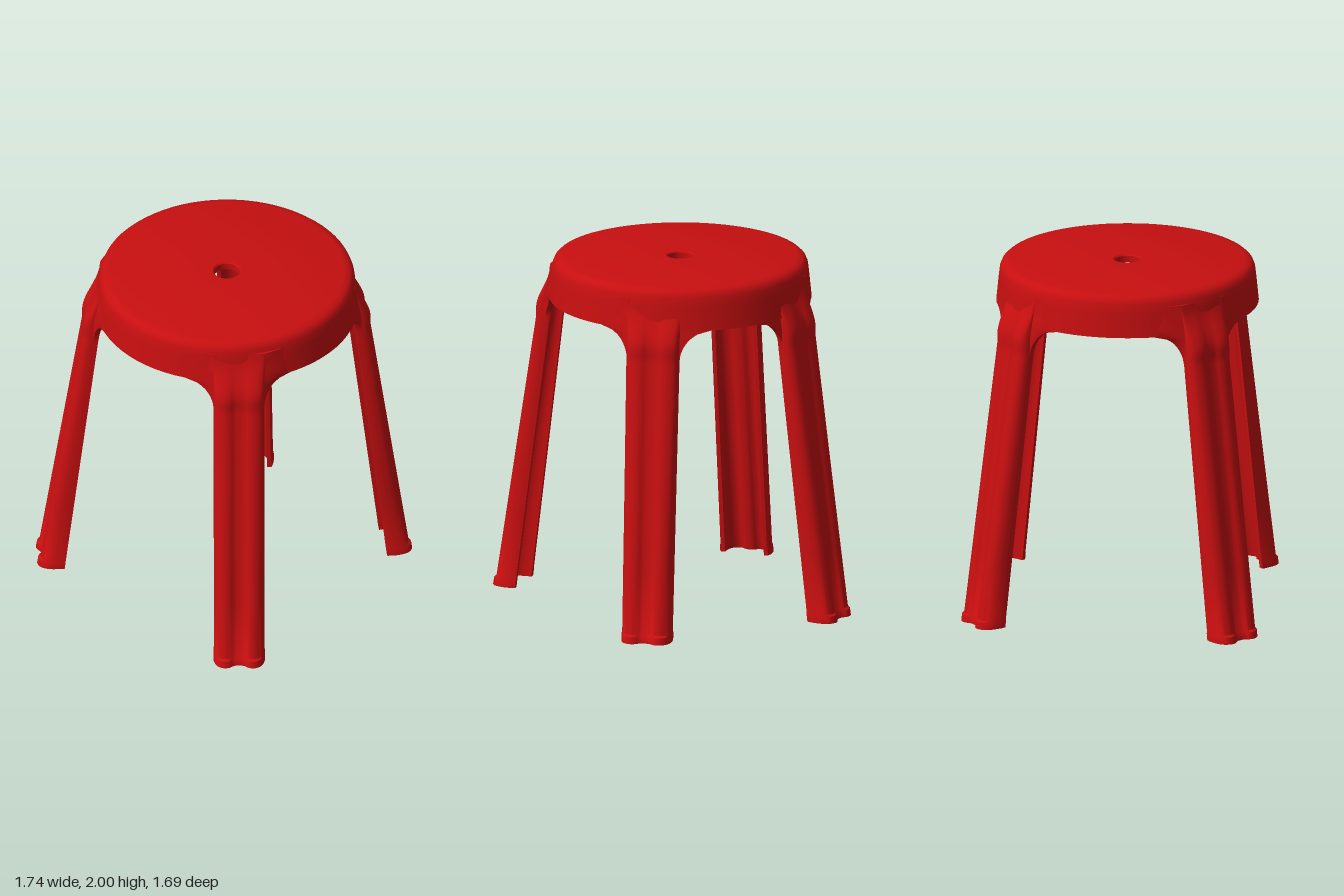
import * as THREE from 'three';
import { toCreasedNormals } from 'three/addons/utils/BufferGeometryUtils.js';

const CZ = 0.05; // seat centre in z
const WALL = 0.03;

// Leg cross-section from tip to tip: x across (-1..1), y outward (0..1), with a shallow central flute
const half = [[1, 0], [0.98, 0.45], [0.85, 0.82], [0.6, 1], [0.38, 0.97], [0.2, 0.82]];
const section = new THREE.SplineCurve([
  ...half.map(([t, d]) => new THREE.Vector2(-t, d)),
  new THREE.Vector2(0, 0.78),
  ...half.slice().reverse().map(([t, d]) => new THREE.Vector2(t, d)),
]).getPoints(36);

const skirtRadius = (y) => THREE.MathUtils.mapLinear(y, 1.76, 1.93, 0.738, 0.718);

// One horizontal loop of a leg: outer skin, then inner skin backwards
function legLoop(y, foot, top) {
  const u = Math.max(0, (1.6 - y) / 1.6);
  const [a, b] = [0, 1].map((i) => new THREE.Vector2(...top[i]).lerp(new THREE.Vector2(...foot[i]), u));
  const across = b.clone().sub(a).multiplyScalar(0.5);
  const mid = a.clone().add(b).multiplyScalar(0.5);
  const out = new THREE.Vector2(-across.y, across.x).normalize();
  const fade = THREE.MathUtils.smoothstep(y, 1.65, 1.93);
  const depth = (0.065 + 0.045 * u) * (1 - fade);
  const lip = y < 0.046 ? 0.012 : 0;
  mid.addScaledVector(out, -0.035 * fade);
  const place = (t, d) => mid.clone().addScaledVector(across, t).addScaledVector(out, d);
  const outer = section.map((p) => place(p.x * (1 + lip * 2), p.y * (depth + lip)));
  const inner = section.map((p) => place(p.x * 0.81, p.y * depth - WALL));

  // Wings along the seat skirt form the rounded arches between legs
  const h = THREE.MathUtils.clamp(y - 1.58, 0, 0.18);
  const reach = (0.18 - Math.sqrt(0.0324 - h * h)) / 0.74;
  const wing = (tip, side, inset) => [1, 2, 3, 4].map((k) => {
    const ang = Math.atan2(tip.x, tip.y - CZ) + side * reach * k / 4;
    const r0 = Math.hypot(tip.x, tip.y - CZ);
    const r = (h > 0 ? THREE.MathUtils.lerp(r0, skirtRadius(y), (k / 4) * Math.min(1, h * 8)) : r0) - inset;
    return new THREE.Vector2(Math.sin(ang) * r, CZ + Math.cos(ang) * r);
  });
  const first = outer[0], last = outer[outer.length - 1];
  return [
    ...wing(first, -1, 0).reverse(), ...outer, ...wing(last, 1, 0),
    ...wing(last, 1, WALL).reverse(), ...inner.reverse(), ...wing(first, -1, WALL),
  ];
}

function makeLeg(foot, top) {
  const rows = [0, 0.04, 0.05, 0.4, 0.8, 1.2, 1.4, 1.58];
  for (let i = 1; i <= 9; i++) rows.push(1.58 + 0.02 * i);
  rows.push(1.8, 1.84, 1.89, 1.93);
  const pos = [], index = [];
  let n = 0;
  for (const y of rows) {
    const loop = legLoop(y, foot, top);
    n = loop.length;
    loop.forEach((p) => pos.push(p.x, y, p.y));
  }
  for (let j = 0; j < rows.length - 1; j++) {
    for (let i = 0; i < n; i++) {
      const k = (i + 1) % n, lo = j * n, hi = lo + n;
      index.push(lo + i, lo + k, hi + i, lo + k, hi + k, hi + i);
    }
  }
  // Close the foot and the top between the outer and inner skins
  const e = (rows.length - 1) * n;
  for (let i = 0; i < n / 2 - 1; i++) {
    const p = n - 1 - i, q = n - 2 - i;
    index.push(i, p, i + 1, i + 1, p, q);
    index.push(e + i, e + i + 1, e + p, e + i + 1, e + q, e + p);
  }
  const geo = new THREE.BufferGeometry();
  geo.setAttribute('position', new THREE.Float32BufferAttribute(pos, 3));
  geo.setIndex(index);
  return toCreasedNormals(geo, 0.7);
}

export function createModel() {
  const group = new THREE.Group();
  group.name = 'stool';
  const red = new THREE.MeshStandardMaterial({ color: 0xc80f10 });
  red.name = 'red plastic';

  const add = (name, geo) => {
    const mesh = new THREE.Mesh(geo, red);
    mesh.name = name;
    group.add(mesh);
    return mesh;
  };

  // Round hollow seat with a skirt and a central hole
  const profile = [
    [0.742, 1.76], [0.735, 1.83], [0.728, 1.9], [0.722, 1.95], [0.712, 1.975], [0.695, 1.991], [0.66, 2],
    [0.08, 2], [0.073, 1.993], [0.073, 1.955], [0.65, 1.955], [0.685, 1.945], [0.7, 1.92], [0.715, 1.76], [0.742, 1.76],
  ].map(([r, y]) => new THREE.Vector2(r, y));
  add('seat', toCreasedNormals(new THREE.LatheGeometry(profile, 72), 0.7)).position.z = CZ;

  // Tip positions [x, z] of each channel leg at the floor and under the seat
  const legs = {
    front: { foot: [[0.605, 0.787], [0.812, 0.59]], top: [[0.47, 0.65], [0.668, 0.44]] },
    back: { foot: [[0.665, -0.61], [0.435, -0.775]], top: [[0.57, -0.455], [0.32, -0.625]] },
  };
  const mirror = (tips) => tips.map(([x, z]) => [-x, z]).reverse();
  for (const [name, { foot, top }] of Object.entries(legs)) {
    add(name + 'LeftLeg', makeLeg(foot, top));
    add(name + 'RightLeg', makeLeg(mirror(foot), mirror(top)));
  }
  return group;
}
